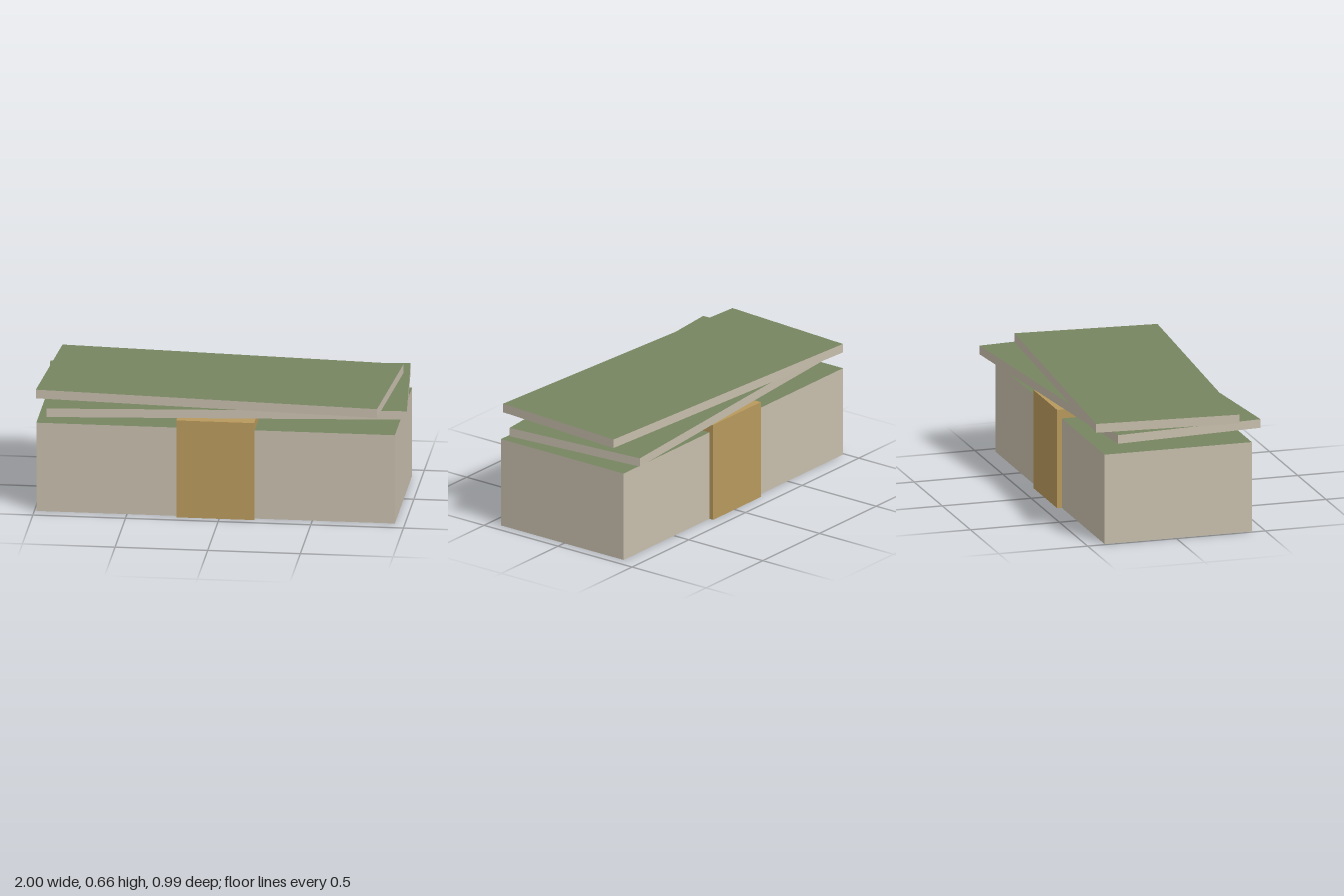
import * as THREE from 'three';

const paper = new THREE.MeshStandardMaterial({ color: 0xc7beac });
paper.name = 'paperEdge';
const green = new THREE.MeshStandardMaterial({ color: 0x768560 });
green.name = 'printedGreen';
const tan = new THREE.MeshStandardMaterial({ color: 0xb8995c });
tan.name = 'bandTan';

// Box material order: +x, -x, +y, -y, +z, -z; only the top is printed
const noteFaces = [paper, paper, green, paper, paper, paper];

// Box given by its size, centre (x, z) and underside height
function slab(name, [w, h, d], [x, y, z], material, turn = 0) {
  const mesh = new THREE.Mesh(new THREE.BoxGeometry(w, h, d), material);
  mesh.name = name;
  mesh.position.set(x, y + h / 2, z);
  mesh.rotation.y = THREE.MathUtils.degToRad(turn);
  return mesh;
}

export function createModel() {
  const model = new THREE.Group();
  model.name = 'noteBundle';

  // Main stack
  model.add(slab('noteStack', [1.935, 0.498, 0.828], [-0.022, 0, 0.013], noteFaces));

  // Paper band folded over the stack, cut as one arch-shaped strip
  const arch = new THREE.Shape([
    [-0.44, 0], [-0.414, 0], [-0.414, 0.498], [0.414, 0.498],
    [0.414, 0], [0.44, 0], [0.44, 0.547], [-0.44, 0.547],
  ].map(([x, y]) => new THREE.Vector2(x, y)));
  const bandGeometry = new THREE.ExtrudeGeometry(arch, { depth: 0.42, bevelEnabled: false });
  bandGeometry.translate(0, 0, -0.21).rotateY(Math.PI / 2);
  const band = new THREE.Mesh(bandGeometry, tan);
  band.name = 'paperBand';
  band.position.set(-0.021, 0, 0.013);
  model.add(band);

  // Two loose layers, turned opposite ways
  model.add(slab('lowerLooseNotes', [1.933, 0.048, 0.828], [0, 0.555, 0], noteFaces, 5));
  model.add(slab('upperLooseNotes', [1.86, 0.049, 0.79], [-0.045, 0.611, 0.024], noteFaces, -4));

  return model;
}
